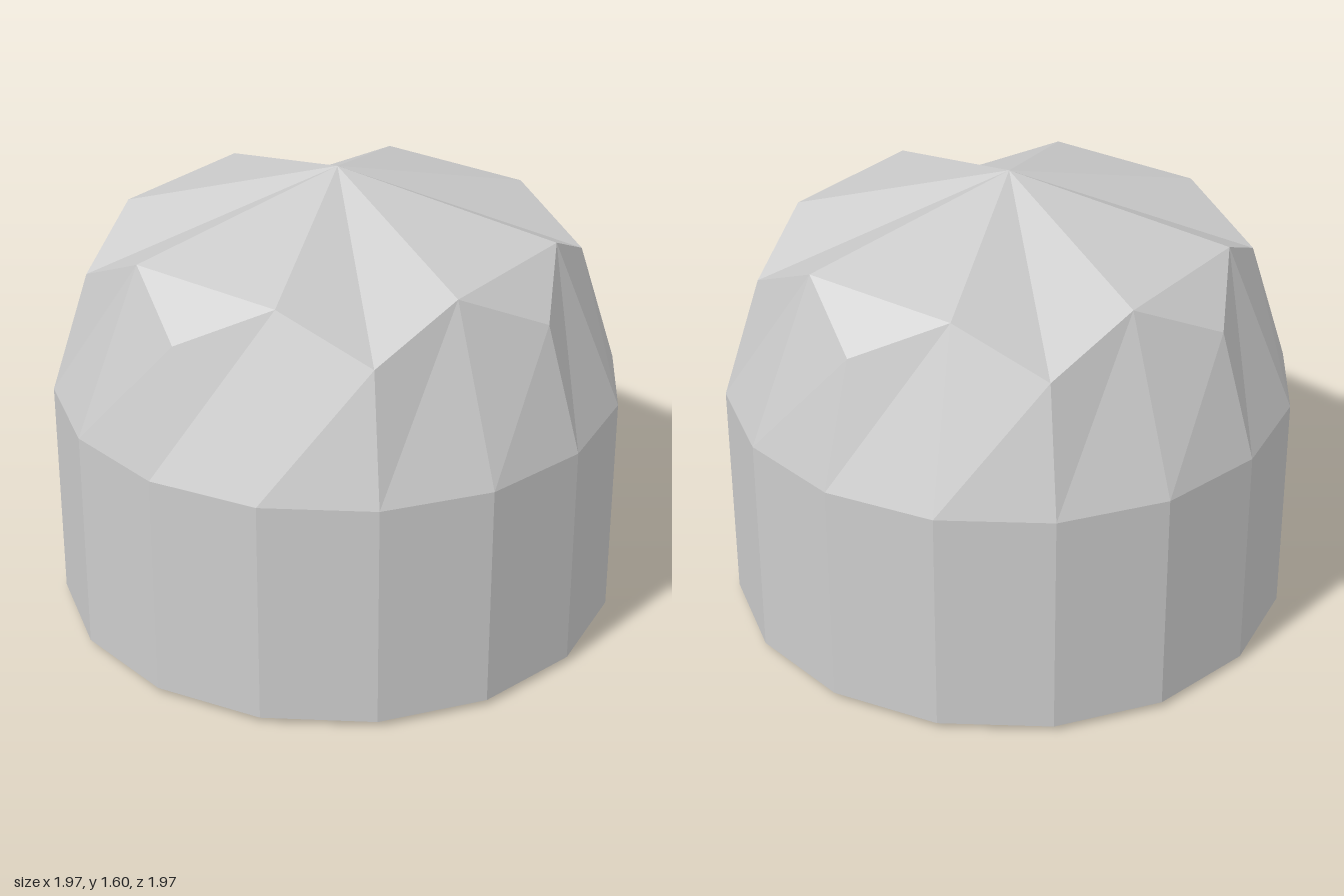
import * as THREE from 'three';

const SIDES = 16;

// Point on side i (wrapping round) at a given radius and height
function ringPoint(i, radius, y) {
  const a = THREE.MathUtils.degToRad(10 + 22.5 * (i % SIDES));
  return [Math.sin(a) * radius, y, Math.cos(a) * radius];
}

function facetedMesh(name, triangles) {
  const geometry = new THREE.BufferGeometry();
  geometry.setAttribute('position', new THREE.Float32BufferAttribute(triangles.flat(2), 3));
  geometry.computeVertexNormals();
  const mesh = new THREE.Mesh(geometry, new THREE.MeshStandardMaterial({ color: 0xcccccc, flatShading: true }));
  mesh.name = name;
  return mesh;
}

// Band of faces joining a lower ring to an upper ring
function band(lower, upper) {
  const triangles = [];
  for (let i = 0; i < SIDES; i++) {
    const a = lower(i), b = lower(i + 1), c = upper(i + 1), d = upper(i);
    triangles.push([a, b, c], [a, c, d]);
  }
  return triangles;
}

export function createModel() {
  const foot = (i) => ringPoint(i, 0.93, 0);
  const base = (i) => ringPoint(i, 1, 0.02);
  const shoulder = (i) => ringPoint(i, 1, 0.82);
  // The crown rim alternates between high, inner and low, outer corners
  const rim = (i) => (i % 2 ? ringPoint(i, 0.865, 1.25) : ringPoint(i, 0.76, 1.4));
  const apex = [0, 1.6, 0];

  // Flat underside with a slight chamfer
  const underside = band(foot, base);
  for (let i = 0; i < SIDES; i++) underside.push([[0, 0, 0], foot(i + 1), foot(i)]);

  // Roof: low corners are notched up to the apex and chamfered in turn
  const roof = [];
  for (let i = 0; i < SIDES; i += 4) {
    roof.push([apex, rim(i), rim(i + 1)], [apex, rim(i + 1), rim(i + 2)]);
    roof.push([apex, rim(i + 2), rim(i + 4)], [rim(i + 2), rim(i + 3), rim(i + 4)]);
  }

  const model = new THREE.Group();
  model.name = 'domedDrum';
  model.add(
    facetedMesh('underside', underside),
    facetedMesh('wall', band(base, shoulder)),
    facetedMesh('slopedShoulder', band(shoulder, rim)),
    facetedMesh('roof', roof)
  );
  return model;
}
